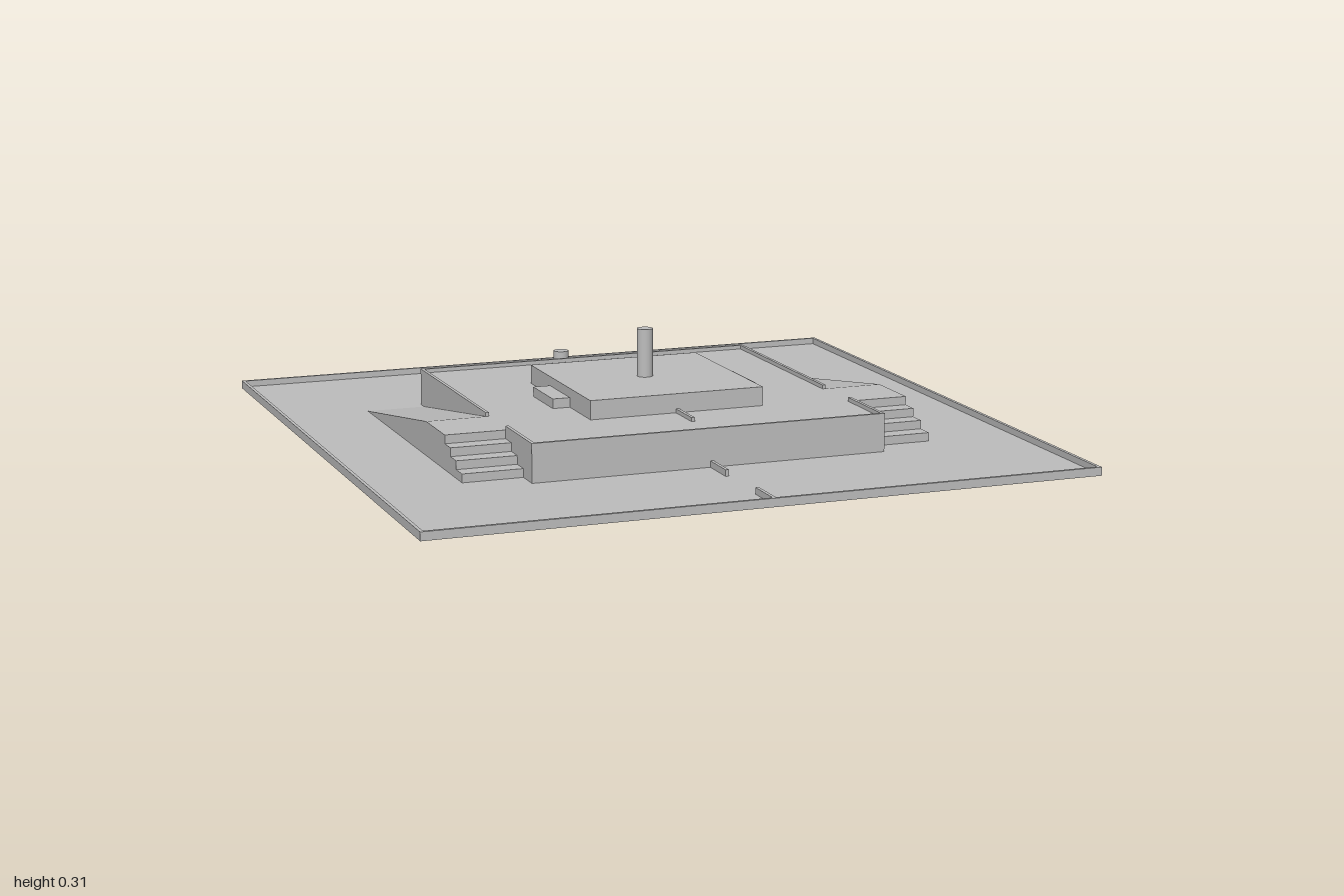
import * as THREE from 'three';

export function createModel() {
  const model = new THREE.Group();
  model.name = 'arena';
  const grey = new THREE.MeshStandardMaterial({ color: 0xbebebe });
  grey.name = 'grey';

  const FLOOR = 0.006, CURB = 0.025, DECK = 0.108, DECK_CURB = 0.12;
  const T = 0.01; // curb thickness
  const P = 0.54; // platform half width

  function add(name, geometry) {
    const mesh = new THREE.Mesh(geometry, grey);
    mesh.name = name;
    model.add(mesh);
    return mesh;
  }
  // Box given by its lower and upper limits on each axis
  function box(name, x0, x1, y0, y1, z0, z1) {
    add(name, new THREE.BoxGeometry(x1 - x0, y1 - y0, z1 - z0))
      .position.set((x0 + x1) / 2, (y0 + y1) / 2, (z0 + z1) / 2);
  }
  function post(name, y0, y1, z) {
    add(name, new THREE.CylinderGeometry(0.024, 0.024, y1 - y0, 32))
      .position.set(0, (y0 + y1) / 2, z);
  }

  // Ground slab, main platform and raised centre block
  box('ground', -1, 1, 0, FLOOR, -1, 1);
  box('platform', -P, P, FLOOR, DECK, -P, P);
  box('centreBlock', -0.27, 0.27, DECK, 0.165, -0.27, 0.27);

  // Curbs along the front and back edges
  for (const s of [-1, 1]) {
    const zs = (a, b) => (s > 0 ? [a, b] : [-b, -a]);
    box('groundCurb', -1, 1, FLOOR, CURB, ...zs(1 - T, 1));
    box('platformCurb', -P, P, DECK, DECK_CURB, ...zs(P - T, P));
  }

  // Ramp, landing and stairs in one side profile (z, y)
  const profile = new THREE.Shape([
    [-0.51, FLOOR], [0.465, FLOOR], [0.465, 0.0315], [0.411, 0.0315],
    [0.411, 0.057], [0.358, 0.057], [0.358, 0.0825], [0.305, 0.0825],
    [0.305, DECK], [0.12, DECK],
  ].map(([z, y]) => new THREE.Vector2(-z, y)).reverse());
  const WIDTH = 0.18;

  // Parts on both sides
  for (const s of [-1, 1]) {
    const xs = (a, b) => (s > 0 ? [a, b] : [-b, -a]);
    box('groundCurb', ...xs(1 - T, 1), FLOOR, CURB, -1 + T, 1 - T);
    box('platformCurb', ...xs(P - T, P), DECK, DECK_CURB, -P + T, 0.12);
    box('platformCurb', ...xs(P - T, P), DECK, DECK_CURB, 0.305, P - T);
    box('sideStep', ...xs(0.27, 0.323), DECK, 0.137, -0.09, 0.09);
    const geometry = new THREE.ExtrudeGeometry(profile, { depth: WIDTH, bevelEnabled: false });
    geometry.rotateY(Math.PI / 2);
    add('rampAndStairs', geometry).position.x = s > 0 ? P : -P - WIDTH;
  }

  // Short divider strips along the centre line
  for (const [z0, z1, low, high] of [
    [-1 + T, -0.86, FLOOR, CURB], [-0.68, -P, FLOOR, CURB],
    [-0.4, -0.27, DECK, DECK_CURB], [0.27, 0.395, DECK, DECK_CURB],
    [P, 0.655, FLOOR, CURB], [0.87, 1 - T, FLOOR, CURB],
  ]) box('divider', -T / 2, T / 2, low, high, z0, z1);

  // Posts
  post('centrePost', 0.165, 0.31, 0);
  post('backPost', FLOOR, 0.096, -0.768);

  return model;
}
